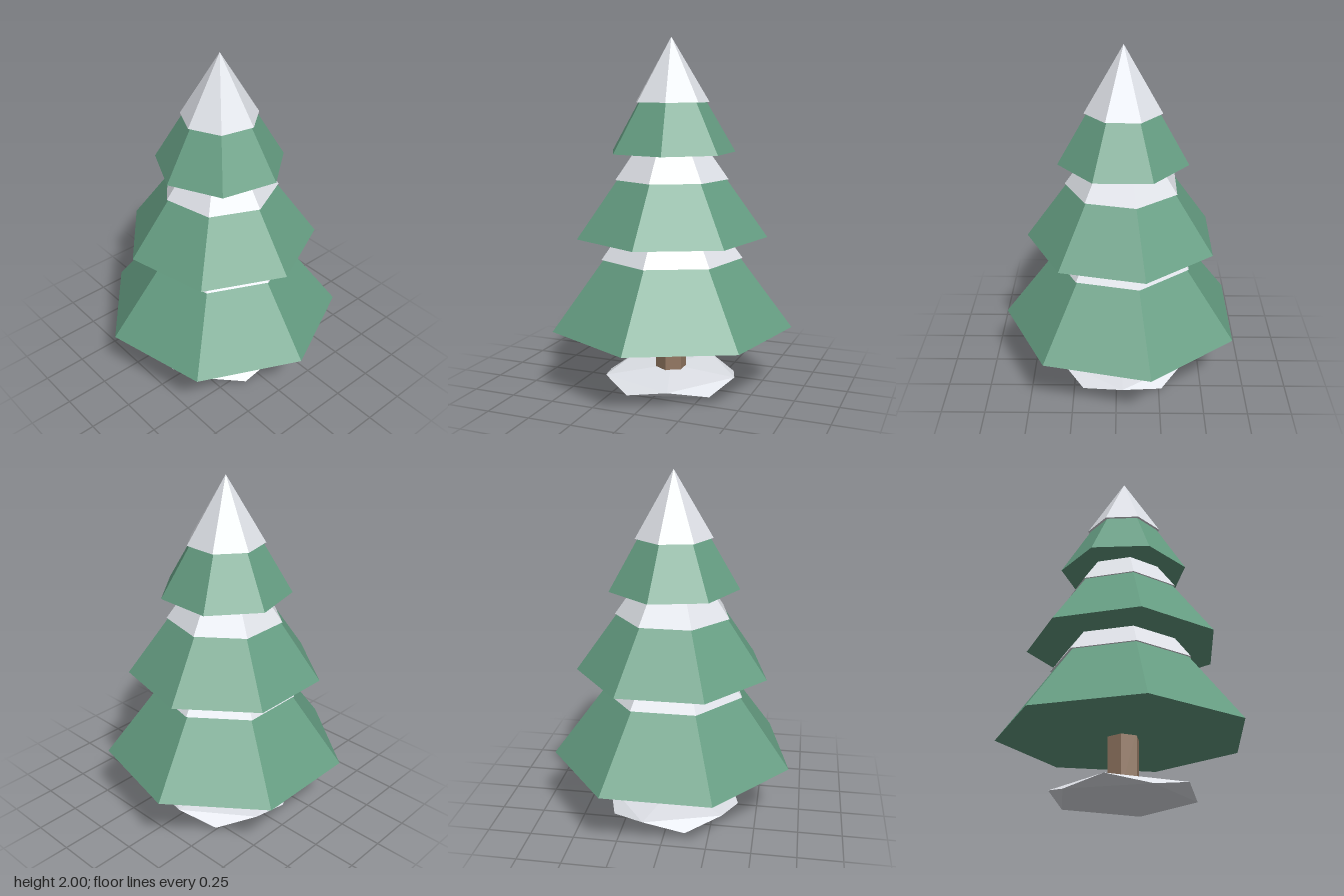
import * as THREE from 'three';

export function createModel() {
  const flat = (name, color) => {
    const m = new THREE.MeshStandardMaterial({ color, flatShading: true });
    m.name = name;
    return m;
  };
  const green = flat('needle green', 0x659d82);
  const snow = flat('snow white', 0xdfe2e8);
  const brown = flat('bark brown', 0x937862);

  const tree = new THREE.Group();
  tree.name = 'snowyFir';
  tree.position.z = -0.035; // shared axis of all the parts

  const add = (name, geometry, material, y, turn = 0) => {
    const mesh = new THREE.Mesh(geometry, material);
    mesh.name = name;
    mesh.position.y = y;
    mesh.rotation.y = turn;
    tree.add(mesh);
  };

  // Seven-sided cone given by its base height, tip height and radius
  const cone = (name, radius, base, tip, material, turn) =>
    add(name, new THREE.ConeGeometry(radius, tip - base, 7), material, (base + tip) / 2, turn);

  // Snow mound: an icosahedron stood on a corner and flattened
  const mound = new THREE.IcosahedronGeometry(1, 0);
  mound.rotateZ(-Math.atan(2 / (1 + Math.sqrt(5))));
  mound.scale(0.436, 0.0525, 0.436);
  add('snowMound', mound, snow, 0.0525);

  // Six-sided trunk
  add('trunk', new THREE.CylinderGeometry(0.09, 0.09, 0.34, 6), brown, 0.23);

  // Branch tiers, each with a slightly wider snow cap
  const tiers = [
    { name: 'lower', r: 0.697, base: 0.365, tip: 1.29, capR: 0.412, capBase: 0.76, capTip: 1.32, turn: 0 },
    { name: 'middle', r: 0.55, base: 0.885, tip: 1.65, capR: 0.327, capBase: 1.21, capTip: 1.67, turn: 0 },
    { name: 'upper', r: 0.367, base: 1.36, tip: 1.98, capR: 0.217, capBase: 1.64, capTip: 2, turn: -Math.PI / 2 },
  ];
  for (const t of tiers) {
    cone(t.name + 'Branches', t.r, t.base, t.tip, green, t.turn);
    cone(t.name + 'SnowCap', t.capR, t.capBase, t.capTip, snow, t.turn);
  }

  const model = new THREE.Group();
  model.add(tree);
  return model;
}
